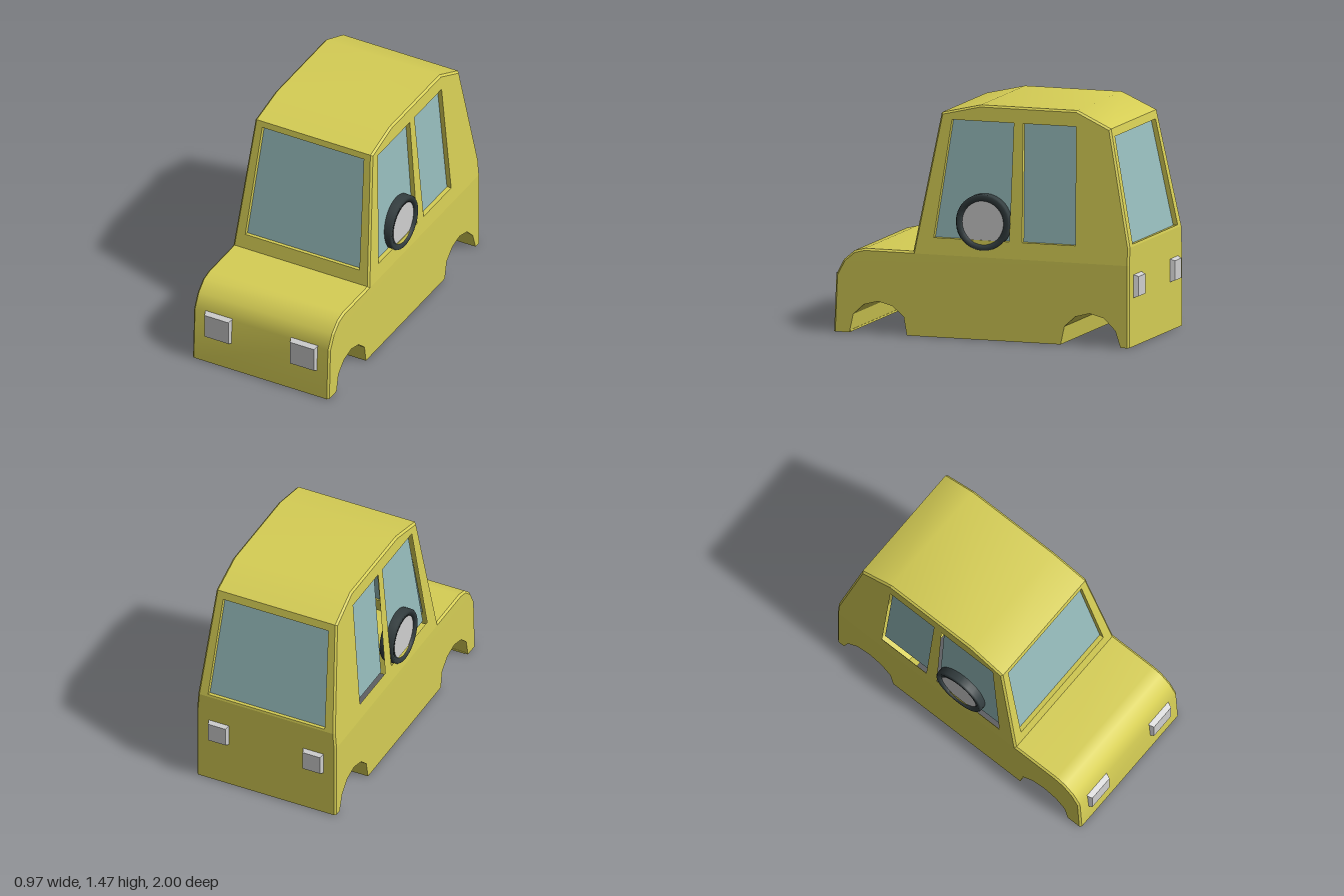
import * as THREE from 'three';
import { mergeGeometries } from 'three/addons/utils/BufferGeometryUtils.js';

const mat = (name, color, side = THREE.FrontSide) => {
  const m = new THREE.MeshStandardMaterial({ color, side });
  m.name = name;
  return m;
};
const THICK = 0.04, BEVEL = 0.012, BEND = 0.518;

// half width of the body: straight below the hood line, tapering to the roof
const halfWidth = (y) => 0.483 - Math.max(0, y - BEND) * 0.077;

// outline of the body from front bottom over the roof to back bottom, as [z, y]
const outline = [
  [0.985, 0], [0.97, 0.36], [0.92, 0.455], [0.85, 0.515], [0.78, 0.532], [0.46, 0.532],
  [0.297, 1.405], [0.04, 1.465], [-0.6, 1.465], [-0.825, 1.362],
  [-0.97, 0.63], [-0.97, BEND], [-0.97, 0],
];

// moves an open outline inward with mitred corners
function inset(pts, d) {
  const normal = (i) => {
    const [a, b] = [pts[i], pts[i + 1]];
    return new THREE.Vector2(a[1] - b[1], b[0] - a[0]).normalize();
  };
  return pts.map((p, i) => {
    const n0 = normal(Math.max(0, i - 1)), n1 = normal(Math.min(pts.length - 2, i));
    const m = n0.clone().add(n1).normalize();
    const k = d / m.dot(n1);
    return [p[0] + m.x * k, p[1] + m.y * k];
  });
}
const edge = inset(outline, BEVEL);
const inner = inset(outline, THICK);

// strip of quads between two rows of points
function strip(a, b, flat = false) {
  const pos = [], idx = [];
  a.forEach((p, i) => {
    pos.push(...p, ...b[i]);
    if (i) { const k = 2 * i - 2; idx.push(k, k + 1, k + 3, k, k + 3, k + 2); }
  });
  let g = new THREE.BufferGeometry();
  g.setAttribute('position', new THREE.Float32BufferAttribute(pos, 3));
  g.setIndex(idx);
  if (flat) g = g.toNonIndexed();
  g.computeVertexNormals();
  return g;
}
const row = (pts, s, less) => pts.map(([z, y]) => [s * (halfWidth(y) - less), y, z]);

function makeShape(pts, holes = []) {
  const vec = (list) => list.map(([x, y]) => new THREE.Vector2(x, y));
  const shape = new THREE.Shape(vec(pts));
  holes.forEach((h) => shape.holes.push(new THREE.Path(vec(h))));
  return shape;
}
const slab = (shape, depth) => new THREE.ExtrudeGeometry(shape, { depth, bevelEnabled: false });

// lays a [z, y] shape on the tapered side s (+1 left, -1 right)
function onSide(s, pts, holes, depth, start = 0) {
  const flip = (list) => list.map(([z, y]) => [s * z, y]);
  const shape = makeShape(flip(pts), holes.map(flip));
  const g = depth ? slab(shape, depth) : new THREE.ShapeGeometry(shape);
  const p = g.attributes.position;
  for (let i = 0; i < p.count; i++) {
    const u = p.getX(i), y = p.getY(i), d = p.getZ(i) + start;
    p.setXYZ(i, s * (halfWidth(y) - d), y, s * u);
  }
  g.computeVertexNormals();
  return g;
}

// sloping end panel with a window; f = +1 front, -1 back
function endPanel(f, low, high, [y0, x0], [y1, x1]) {
  const dir = new THREE.Vector3(0, high[1] - low[1], high[0] - low[0]);
  const len = dir.length();
  dir.normalize();
  const X = new THREE.Vector3(f, 0, 0);
  const m = new THREE.Matrix4().makeBasis(X, dir, X.clone().cross(dir)).setPosition(0, low[1], low[0]);
  const trapezoid = (a, va, b, vb) => [[-a, va], [a, va], [b, vb], [-b, vb]];
  const v = (y) => (y - low[1]) / dir.y;
  const hole = trapezoid(x0, v(y0), x1, v(y1));
  const rim = trapezoid(halfWidth(low[1]) - BEVEL, 0, halfWidth(high[1]) - BEVEL, len);
  return {
    frame: slab(makeShape(rim, [hole]), THICK).translate(0, 0, -THICK).applyMatrix4(m),
    glass: new THREE.ShapeGeometry(makeShape(hole)).translate(0, 0, -0.03).applyMatrix4(m),
  };
}

export function createModel() {
  const model = new THREE.Group();
  model.name = 'car';
  const paint = mat('yellowPaint', 0xd6ce55);
  const glass = mat('blueGlass', 0x96bcbc, THREE.DoubleSide);
  const rubber = mat('blackRubber', 0x343e40);
  const silver = mat('silver', 0xd0d0d0);
  const add = (name, geometry, material) => {
    const mesh = new THREE.Mesh(geometry, material);
    mesh.name = name;
    model.add(mesh);
    return mesh;
  };

  // hood, roof and back panels with their inner skins
  for (const [name, from, to] of [['hood', 0, 5], ['roof', 6, 9], ['backPanel', 10, 12]]) {
    const out = outline.slice(from, to + 1), inn = inner.slice(from, to + 1);
    add(name, strip(row(out, -1, BEVEL), row(out, 1, BEVEL)), paint);
    add(name + 'Lining', strip(row(inn, 1, THICK), row(inn, -1, THICK)), paint);
  }

  // windscreen and rear window
  const front = endPanel(1, outline[5], outline[6], [0.625, 0.405], [1.365, 0.36]);
  add('windscreenFrame', front.frame, paint);
  add('windscreen', front.glass, glass);
  const back = endPanel(-1, outline[10], outline[9], [0.645, 0.405], [1.31, 0.365]);
  add('rearWindowFrame', back.frame, paint);
  add('rearWindow', back.glass, glass);

  // wheel arches as [z, y], from front to back
  const frontArch = [[0.88, 0], [0.855, 0.115], [0.785, 0.18], [0.69, 0.205], [0.595, 0.18], [0.52, 0.115], [0.5, 0]];
  const rearArch = [[-0.518, 0], [-0.543, 0.115], [-0.615, 0.18], [-0.71, 0.205], [-0.805, 0.18], [-0.88, 0.105], [-0.915, 0]];
  for (const [name, arch, mid] of [['frontArch', frontArch, 0.69], ['rearArch', rearArch, -0.715]]) {
    const outer = arch.map(([z, y]) => [mid + (z - mid) * 1.2, y * 1.2]).reverse();
    add(name, onSide(1, [...arch, ...outer], [], 0.926, 0.02), paint);
  }

  // bottom edges in front of and behind the arches
  add('frontSill', new THREE.BoxGeometry(0.93, 0.012, 0.1).translate(0, 0.007, 0.925), paint);
  add('rearSill', new THREE.BoxGeometry(0.93, 0.012, 0.045).translate(0, 0.007, -0.94), paint);

  // side walls, side windows and bevelled edges
  const windows = [
    [[0.325, 0.625], [0.225, 1.365], [-0.185, 1.365], [-0.175, 0.625]],
    [[-0.26, 0.625], [-0.245, 1.365], [-0.595, 1.365], [-0.615, 0.625]],
  ];
  const lowerWall = [...edge.slice(0, 6), edge[11], edge[12], ...[...frontArch, ...rearArch].reverse()];
  const upperWall = edge.slice(5, 12);
  for (const s of [1, -1]) {
    const side = s > 0 ? 'left' : 'right';
    add(side + 'Wall', mergeGeometries([
      onSide(s, lowerWall, [], THICK), onSide(s, upperWall, windows, THICK),
    ]), paint);
    windows.forEach((w, i) => add(side + (i ? 'RearGlass' : 'FrontGlass'), onSide(s, w, [], 0, 0.03), glass));
    const a = row(outline, s, BEVEL), b = row(edge, s, 0);
    add(side + 'Bevel', s > 0 ? strip(a, b, true) : strip(b, a, true), paint);
  }

  // wheels set into the sides
  const tyreProfile = [[0.138, 0], [0.17, 0], [0.179, 0.012], [0.179, 0.083], [0.17, 0.095], [0.138, 0.088], [0.138, 0]]
    .map(([r, h]) => new THREE.Vector2(r, h));
  for (const s of [1, -1]) {
    const wheel = new THREE.Group();
    wheel.name = s > 0 ? 'leftWheel' : 'rightWheel';
    const tyre = new THREE.Mesh(new THREE.LatheGeometry(tyreProfile, 32), rubber);
    tyre.name = 'tyre';
    const hub = new THREE.Mesh(new THREE.CylinderGeometry(0.14, 0.14, 0.075, 32).translate(0, 0.0425, 0), silver);
    hub.name = 'hub';
    wheel.add(tyre, hub);
    wheel.rotation.z = -s * Math.PI / 2;
    wheel.position.set(s * 0.39, 0.735, 0);
    model.add(wheel);
  }

  // lamps: blocks with a smaller outer face
  const lamp = (w, h) => {
    const g = new THREE.BoxGeometry(w, h, 0.05).toNonIndexed();
    const p = g.attributes.position;
    for (let i = 0; i < p.count; i++) {
      if (p.getZ(i) > 0) p.setXY(i, p.getX(i) * (1 - 0.036 / w), p.getY(i) * (1 - 0.036 / h));
    }
    g.computeVertexNormals();
    return g;
  };
  for (const s of [1, -1]) {
    const side = s > 0 ? 'left' : 'right';
    add(side + 'Headlamp', lamp(0.205, 0.195), silver).position.set(s * 0.303, 0.277, 0.975);
    const tail = add(side + 'TailLamp', lamp(0.155, 0.16), silver);
    tail.position.set(s * 0.328, 0.378, -0.975);
    tail.rotation.y = Math.PI;
  }
  return model;
}
